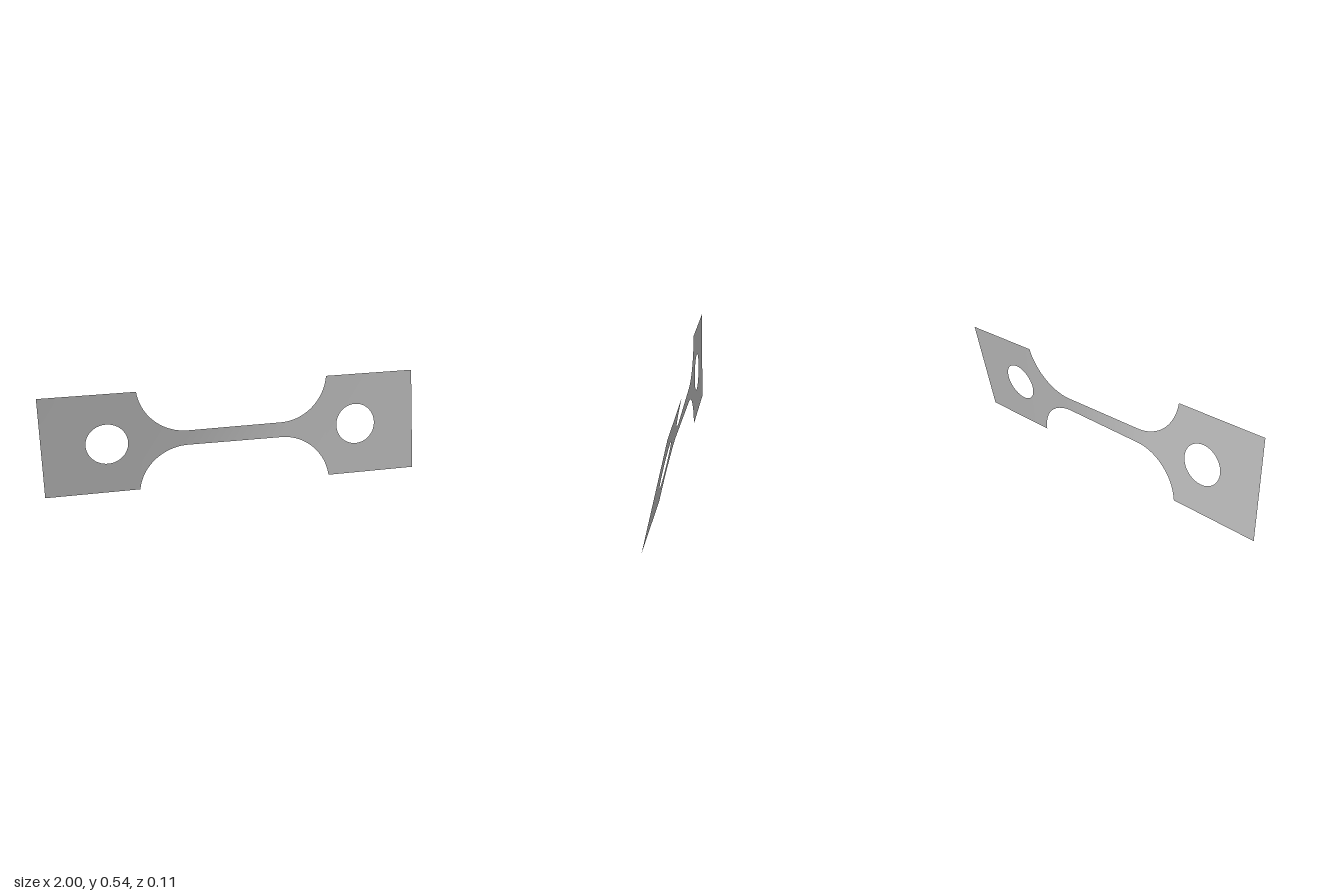
import * as THREE from 'three';

const MID = 0.271, HALF = 0.271, NECK = 0.04;   // centre height, half heights
const SHOULDER = 0.51, FILLET_END = 0.25, FILLET_R = 0.262;
const HOLE_X = 0.67, HOLE_R = 0.108;

// Twist angle in degrees along the length: most of it happens in the narrow neck
const TWIST = [[-1, -0.9], [-0.5, -0.4], [-0.27, 0], [0.27, 10.9], [0.5, 11.5], [1, 12.2]];

function twistAt(x) {
  let i = 0;
  while (i < TWIST.length - 2 && x > TWIST[i + 1][0]) i++;
  const [x0, a0] = TWIST[i], [x1, a1] = TWIST[i + 1];
  return THREE.MathUtils.degToRad(a0 + (a1 - a0) * (x - x0) / (x1 - x0));
}

// Sheet patch from a rule (u, v) -> [x, height from axis], twisted about the long axis
function sheet(rule, nu, nv) {
  const pos = [], index = [];
  for (let i = 0; i <= nu; i++) {
    for (let j = 0; j <= nv; j++) {
      const [x, h] = rule(i / nu, j / nv);
      const a = twistAt(x);
      pos.push(x, MID + h * Math.cos(a), -h * Math.sin(a));
      if (i < nu && j < nv) {
        const p = i * (nv + 1) + j, q = p + nv + 1;
        index.push(p, q, q + 1, p, q + 1, p + 1);
      }
    }
  }
  const g = new THREE.BufferGeometry();
  g.setAttribute('position', new THREE.Float32BufferAttribute(pos, 3));
  g.setIndex(index);
  g.computeVertexNormals();
  return g;
}

// Half height of the neck, with a round fillet at each shoulder
function neckHalf(x) {
  const d = Math.max(0, Math.abs(x) - FILLET_END);
  return Math.min(HALF, NECK + FILLET_R - Math.sqrt(FILLET_R ** 2 - d * d));
}

// Rectangular plate with a round hole: rings run from the hole to the outline
function plateRule(side) {
  const x0 = side < 0 ? -1 : SHOULDER, x1 = side < 0 ? -SHOULDER : 1;
  const corners = [[x1, -HALF], [x1, HALF], [x0, HALF], [x0, -HALF]];
  return (u, v) => {
    const s = (v * 4) % 4, k = Math.floor(s), f = s - k;
    const a = corners[k], b = corners[(k + 1) % 4];
    const ox = a[0] + (b[0] - a[0]) * f, oy = a[1] + (b[1] - a[1]) * f;
    const cx = side * HOLE_X, angle = Math.atan2(oy, ox - cx);
    const ix = cx + HOLE_R * Math.cos(angle), iy = HOLE_R * Math.sin(angle);
    return [ix + (ox - ix) * u, iy + (oy - iy) * u];
  };
}

export function createModel() {
  const group = new THREE.Group();
  group.name = 'twistedTestStrip';
  const metal = new THREE.MeshStandardMaterial({ color: 0xc0c0c0, side: THREE.DoubleSide });
  metal.name = 'plain grey';

  const add = (name, geometry) => {
    const mesh = new THREE.Mesh(geometry, metal);
    mesh.name = name;
    group.add(mesh);
  };

  // Grip plates
  add('rightGripPlate', sheet(plateRule(-1), 8, 96));
  add('leftGripPlate', sheet(plateRule(1), 8, 96));

  // Neck, with columns gathered toward the steep fillets
  add('neck', sheet((u, v) => {
    const x = -SHOULDER * Math.cos(Math.PI * u);
    return [x, (2 * v - 1) * neckHalf(x)];
  }, 96, 8));

  return group;
}
